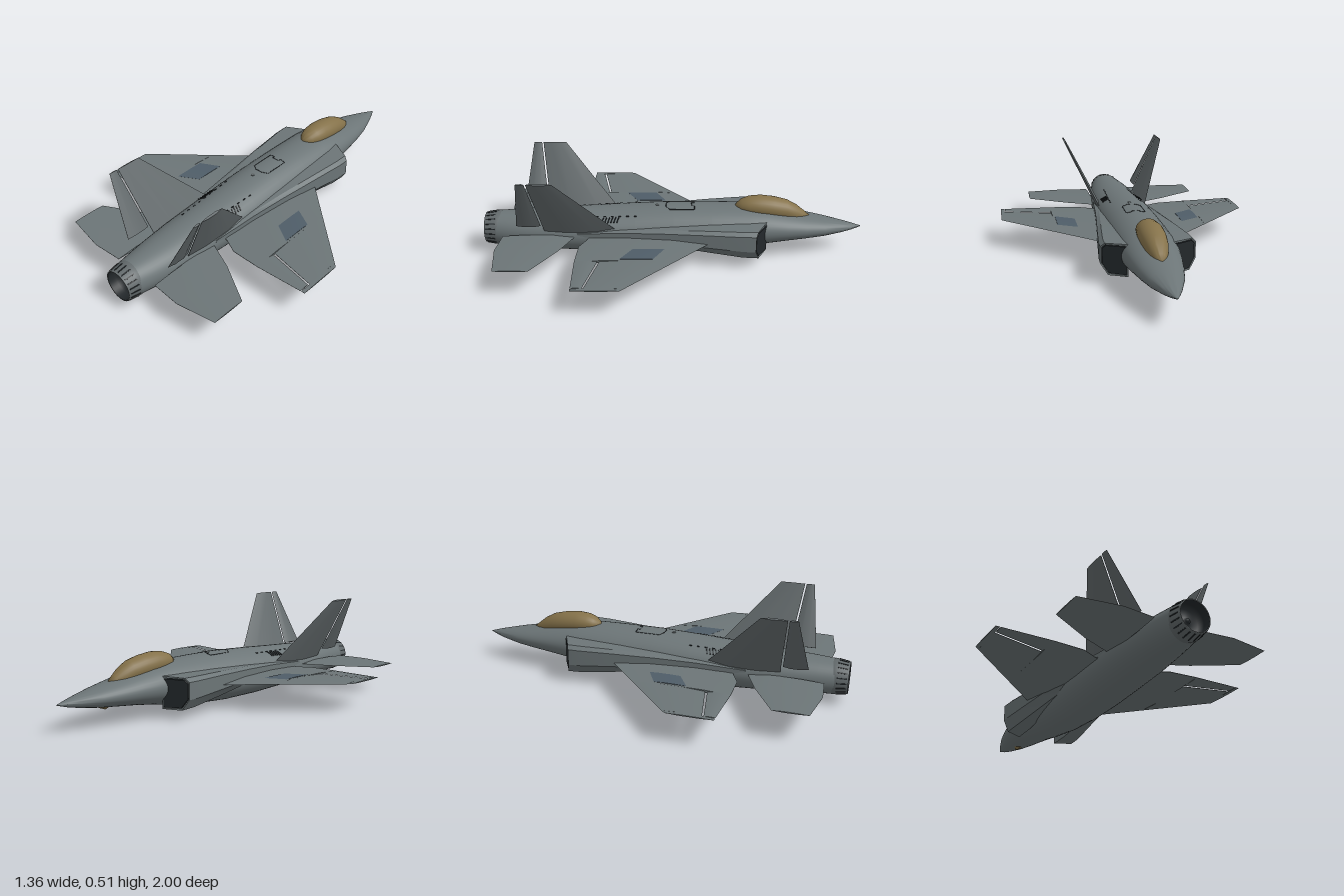
import * as THREE from 'three';
import { toCreasedNormals } from 'three/addons/utils/BufferGeometryUtils.js';

const paint = (color) => new THREE.MeshStandardMaterial({ color });
const skin = paint(0x6c7577);
const finSkin = paint(0x62696b);
const dark = paint(0x23282b);
const patchMat = paint(0x4f5d68);
const gold = paint(0x85724a);
const lerp = THREE.MathUtils.lerp;

// Fuselage stations: z, half width, bottom, top
const BODY = [
  [-1, 0.002, 0.138, 0.142], [-0.95, 0.026, 0.123, 0.156], [-0.9, 0.047, 0.112, 0.168],
  [-0.8, 0.083, 0.096, 0.19], [-0.7, 0.107, 0.085, 0.21], [-0.6, 0.125, 0.074, 0.23],
  [-0.5, 0.139, 0.06, 0.25], [-0.4, 0.147, 0.042, 0.262], [-0.2, 0.154, 0.014, 0.266],
  [0, 0.156, 0.002, 0.266], [0.2, 0.155, 0.003, 0.257], [0.4, 0.148, 0.012, 0.245],
  [0.6, 0.138, 0.022, 0.235], [0.75, 0.122, 0.031, 0.229], [0.85, 0.107, 0.037, 0.224],
  [0.935, 0.091, 0.042, 0.219],
];

// Skin through rings; each ring runs counter-clockwise about the direction of travel
function loft(rings, side = 1, crease = 0.6) {
  const n = rings[0].length, pos = [], idx = [];
  for (const ring of rings) {
    const r = side < 0 ? ring.slice().reverse() : ring;
    for (const p of r) pos.push(p[0] * side, p[1], p[2]);
  }
  // mirroring in x keeps the travel direction for z lofts; the winding is fixed by the reversal
  for (let i = 0; i < rings.length - 1; i++) {
    for (let j = 0; j < n; j++) {
      const k = (j + 1) % n, a = i * n + j, b = i * n + k;
      idx.push(a, b, b + n, a, b + n, a + n);
    }
  }
  const last = (rings.length - 1) * n;
  for (let j = 1; j < n - 1; j++) idx.push(0, j + 1, j, last, last + j, last + j + 1);
  const g = new THREE.BufferGeometry();
  g.setAttribute('position', new THREE.Float32BufferAttribute(pos, 3));
  g.setIndex(idx);
  return toCreasedNormals(g, crease);
}

function ellipse(z, w, lo, hi, n = 40) {
  return Array.from({ length: n }, (_, i) => {
    const a = (i / n) * Math.PI * 2;
    return [w * Math.cos(a), (lo + hi) / 2 + ((hi - lo) / 2) * Math.sin(a), z];
  });
}

// Thin aerofoil surface; stations are x, y, leading z, trailing z, thickness
function panel(stations, side) {
  const a = stations[0], b = stations[stations.length - 1];
  const len = Math.hypot(b[0] - a[0], b[1] - a[1]);
  const nx = -(b[1] - a[1]) / len, ny = (b[0] - a[0]) / len;
  const foil = [[0.3, 0.5], [0.7, 0.45], [1, 0.05], [1, -0.05], [0.7, -0.45], [0.3, -0.5], [0, 0]];
  return loft(stations.map(([x, y, le, te, t]) =>
    foil.map(([c, h]) => [x + nx * h * t, y + ny * h * t, lerp(le, te, c)])), side, 0.4);
}

// Height of the fuselage's upper skin
function bodyTop(x, z) {
  const i = Math.max(1, BODY.findIndex((s) => s[0] >= z));
  const a = BODY[i - 1], b = BODY[i], k = (z - a[0]) / (b[0] - a[0]);
  const [w, lo, hi] = [1, 2, 3].map((c) => lerp(a[c], b[c], k));
  return (lo + hi) / 2 + ((hi - lo) / 2) * Math.sqrt(Math.max(0, 1 - (x / w) ** 2));
}

export function createModel() {
  const model = new THREE.Group();
  const add = (name, geo, mat) => {
    const m = new THREE.Mesh(geo, mat);
    m.name = name;
    model.add(m);
    return m;
  };

  add('fuselage', loft(BODY.map((s) => ellipse(...s))), skin);

  // Canopy bubble, sunk into the spine
  const CANOPY = [[-0.72, 0.006, 0.195, 0.206], [-0.69, 0.028, 0.17, 0.232], [-0.65, 0.044, 0.17, 0.264],
    [-0.6, 0.056, 0.18, 0.291], [-0.53, 0.064, 0.19, 0.308], [-0.46, 0.065, 0.2, 0.316],
    [-0.4, 0.059, 0.21, 0.311], [-0.36, 0.045, 0.22, 0.297], [-0.335, 0.024, 0.23, 0.277], [-0.325, 0.005, 0.24, 0.262]];
  add('canopy', loft(CANOPY.map((s) => ellipse(...s, 28)), 1, 1.2), gold);

  // Sensor window under the nose
  const sensor = add('noseSensor', new THREE.OctahedronGeometry(0.028), gold);
  sensor.scale.set(0.8, 0.5, 1.4);
  sensor.position.set(0, 0.089, -0.74);

  // Exhaust nozzle with a hollow dark throat
  const lathe = (pts) => new THREE.LatheGeometry(pts.map((p) => new THREE.Vector2(...p)), 40)
    .rotateX(Math.PI / 2).translate(0, 0.13, 0);
  add('nozzle', lathe([[0.086, 0.9], [0.092, 0.925], [0.09, 0.945], [0.081, 1], [0.076, 1]]), finSkin)
    .material.side = THREE.DoubleSide;
  const throatMat = paint(0x23282b);
  throatMat.side = THREE.DoubleSide;
  add('nozzleThroat', lathe([[0.0765, 1], [0.076, 0.96], [0.06, 0.937], [0.02, 0.937], [0.012, 0.95], [0, 0.955]]), throatMat);
  const petals = new THREE.Group();
  petals.name = 'nozzlePetalGaps';
  for (let i = 0; i < 20; i++) {
    const spoke = new THREE.Group();
    const gap = new THREE.Mesh(new THREE.BoxGeometry(0.006, 0.004, 0.05), dark);
    gap.name = 'petalGap';
    gap.position.set(0, 0.0865, 0.967);
    gap.rotation.x = 0.16;
    spoke.add(gap);
    spoke.rotation.z = (i / 20) * Math.PI * 2;
    petals.add(spoke);
  }
  petals.position.y = 0.13;
  model.add(petals);

  // Intake cross-section: outer x, bottom, top, with swept lip
  const duct = (z, xo, lo, hi, sweep = 0) => {
    const xi = 0.11, h = hi - lo;
    return [[xi, lo], [xo - 0.035, lo], [xo, lo + h * 0.33], [xo, hi - h * 0.14], [xo - 0.02, hi - h * 0.02], [xi, hi]]
      .map(([x, y]) => [x, y, z + sweep * (x - 0.14)]);
  };
  const inset = (ring, s, dz) => {
    const cx = 0.175, cy = 0.13;
    return ring.map(([x, y, z]) => [cx + (x - cx) * s, cy + (y - cy) * s, z + dz]);
  };
  const wingLE = (x) => -0.17 + (x - 0.22) * 0.9;
  const wingY = (x) => 0.136 + 0.028 * (x - 0.1);
  const wingT = (x) => 0.03 - 0.042 * (x - 0.1);
  const wingAt = (x, le, te) => [x, wingY(x), le, te, wingT(x)];

  for (const side of [1, -1]) {
    const S = side > 0 ? 'left' : 'right';

    // Intake housing tapering back into the wing root
    const lip = duct(-0.47, 0.235, 0.052, 0.214, 0.5);
    add(S + 'Intake', loft([inset(lip, 0.9, 0.03), inset(lip, 0.9, 0.001), lip, duct(-0.36, 0.233, 0.055, 0.213),
      duct(-0.17, 0.212, 0.075, 0.208), duct(0.05, 0.185, 0.1, 0.198), duct(0.25, 0.163, 0.125, 0.185),
      duct(0.5, 0.14, 0.13, 0.165)], side, 0.35), skin);
    const mouth = inset(lip, 0.86, -0.002);
    add(S + 'IntakeMouth', loft([mouth, inset(lip, 0.86, 0.05)], side), dark);

    // Wing in three pieces around a separate flap
    const wing = [
      [wingAt(0.1, wingLE(0.1), 0.43), wingAt(0.16, wingLE(0.16), 0.445), wingAt(0.24, wingLE(0.24), 0.482), wingAt(0.4, wingLE(0.4), 0.486)],
      [wingAt(0.4, wingLE(0.4), 0.362), wingAt(0.66, wingLE(0.66), 0.414)],
      [wingAt(0.66, wingLE(0.66), 0.475), wingAt(0.68, 0.245, 0.474)],
    ];
    wing.forEach((st, i) => add(S + ['WingInner', 'WingOuter', 'WingTip'][i], panel(st, side), skin));
    add(S + 'Flap', panel([[0.4, wingY(0.4), 0.372, 0.486, 0.01], [0.656, wingY(0.656), 0.421, 0.475, 0.005]], side), skin);
    const patch = (x, le, te) => [x, wingY(x) + wingT(x) / 2, le, te, 0.004];
    add(S + 'WingPatch', panel([patch(0.285, 0.045, 0.205), patch(0.388, 0.1, 0.265)], side), patchMat);

    // Tailplane
    add(S + 'Tailplane', panel([[0.08, 0.14, 0.5, 0.7, 0.018], [0.13, 0.141, 0.51, 0.75, 0.017], [0.13, 0.141, 0.51, 0.89, 0.017],
      [0.29, 0.144, 0.577, 0.902, 0.013], [0.5, 0.148, 0.695, 0.868, 0.006]], side), skin);

    // Canted fin and rudder
    const fin = (y, le, te, t) => [0.143 + (y - 0.21) * 0.483, y, le, te, t];
    add(S + 'Fin', panel([fin(0.17, 0.29, 0.672, 0.024), fin(0.505, 0.59, 0.716, 0.012)], side), finSkin);
    add(S + 'Rudder', panel([fin(0.208, 0.686, 0.812, 0.016), fin(0.505, 0.724, 0.766, 0.009)], side), finSkin);

    // Louvres on the rear deck
    for (let i = 0; i < 6; i++) {
      const z = 0.29 + i * 0.016, x = 0.098;
      const v = add(S + 'Louvre', new THREE.BoxGeometry(0.036, 0.005, 0.006), dark);
      v.position.set(side * x, bodyTop(x, z), z);
      v.rotation.set(0, -side * 0.35, -side * 0.55);
    }
    // Small fasteners along the deck
    for (let i = 0; i < 9; i++) {
      const z = 0.2 + i * 0.04, x = 0.085 - i * 0.002;
      add(S + 'DeckFastener', new THREE.BoxGeometry(0.005, 0.005, 0.014), dark)
        .position.set(side * x, bodyTop(x, z), z);
    }
  }

  // Hatch outline on the spine
  const corners = [[-0.05, -0.11], [-0.02, -0.11], [-0.02, -0.095], [0.02, -0.095], [0.02, -0.11],
    [0.05, -0.11], [0.05, 0.02], [0.02, 0.04], [-0.02, 0.04], [-0.05, 0.02]];
  const outline = new THREE.CurvePath();
  corners.forEach(([x, z], i) => {
    const [x2, z2] = corners[(i + 1) % corners.length];
    outline.add(new THREE.LineCurve3(new THREE.Vector3(x, bodyTop(x, z), z), new THREE.Vector3(x2, bodyTop(x2, z2), z2)));
  });
  add('spineHatchOutline', new THREE.TubeGeometry(outline, 120, 0.0022, 4, true), dark);
  add('spineCap', new THREE.CylinderGeometry(0.01, 0.01, 0.004, 16), finSkin).position.set(0, bodyTop(0, 0.085), 0.085);

  return model;
}
